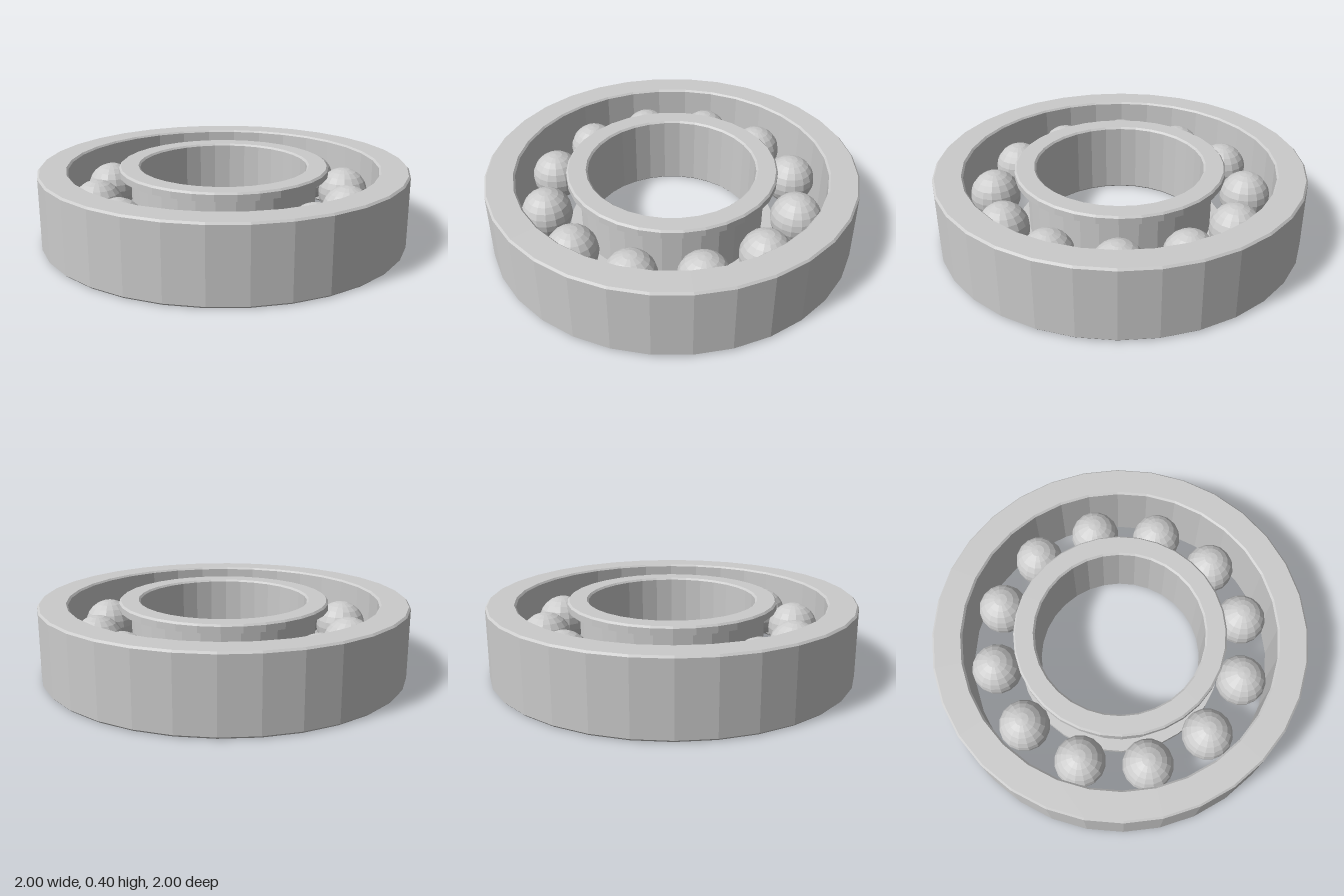
import * as THREE from 'three';

const HEIGHT = 0.4, SIDES = 32, BEVEL = 0.01;
const BALLS = 12, BALL_RADIUS = 0.137, BALL_ORBIT = 0.69;

// Faceted ring with bevelled rims; groove = { radius, lip } cuts a channel in the outer wall
function ring(name, inner, outer, material, groove) {
  const b = BEVEL, h = HEIGHT;
  const wall = groove ? [
    [outer, groove.lip], [groove.radius, groove.lip],
    [groove.radius, h - groove.lip], [outer, h - groove.lip],
  ] : [];
  const profile = [
    [outer - b, 0], [outer, b], ...wall, [outer, h - b], [outer - b, h],
    [inner + b, h], [inner, h - b], [inner, b], [inner + b, 0], [outer - b, 0],
  ].map(([r, y]) => new THREE.Vector2(r, y));
  const mesh = new THREE.Mesh(new THREE.LatheGeometry(profile, SIDES), material);
  mesh.name = name;
  return mesh;
}

export function createModel() {
  const model = new THREE.Group();
  model.name = 'ballBearing';
  const material = new THREE.MeshStandardMaterial({ color: 0xcccccc, flatShading: true });

  // Outer and inner races
  model.add(ring('outerRace', 0.84, 1, material));
  model.add(ring('innerRace', 0.455, 0.57, material, { radius: 0.505, lip: 0.045 }));

  // Balls spaced evenly between the races
  const balls = new THREE.Group();
  balls.name = 'balls';
  const ballGeometry = new THREE.SphereGeometry(BALL_RADIUS, 16, 12);
  for (let i = 0; i < BALLS; i++) {
    const angle = (i / BALLS) * Math.PI * 2;
    const ball = new THREE.Mesh(ballGeometry, material);
    ball.name = 'ball';
    ball.position.set(Math.sin(angle) * BALL_ORBIT, HEIGHT / 2, Math.cos(angle) * BALL_ORBIT);
    balls.add(ball);
  }
  model.add(balls);
  return model;
}
